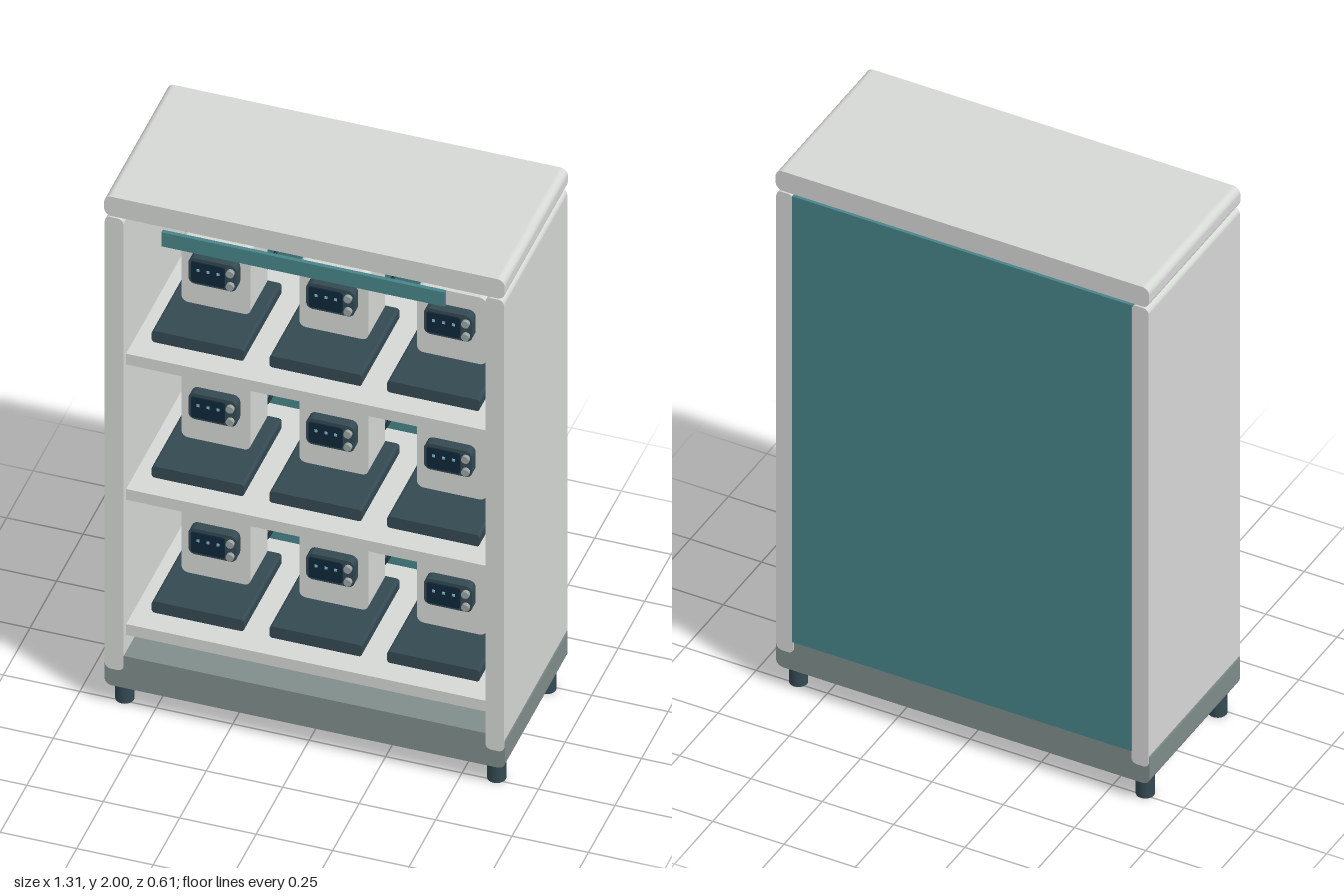
import * as THREE from 'three';

const mat = (name, color) => {
  const m = new THREE.MeshStandardMaterial({ color });
  m.name = name;
  return m;
};

export function createModel() {
  const pale = mat('pale grey', 0xd6d8d6);
  const teal = mat('teal', 0x488589);
  const stone = mat('grey green', 0x7f8d8b);
  const slate = mat('dark slate', 0x344952);
  const screenBlue = mat('screen navy', 0x10283a);
  const light = mat('indicator blue', 0x7fb9cc);
  const metal = mat('knob grey', 0x9aa5a4);
  const cable = mat('cable black', 0x1c2930);

  const cabinet = new THREE.Group();
  cabinet.name = 'cabinet';

  const add = (parent, name, geometry, material, x = 0, y = 0, z = 0) => {
    const mesh = new THREE.Mesh(geometry, material);
    mesh.name = name;
    mesh.position.set(x, y, z);
    parent.add(mesh);
    return mesh;
  };

  // Block with rounded corners in the front outline, extruded from z0 to z1
  const slab = (parent, name, material, [x0, x1], [y0, y1], [z0, z1], r) => {
    const s = new THREE.Shape();
    s.moveTo(x0 + r, y0);
    s.lineTo(x1 - r, y0);
    s.absarc(x1 - r, y0 + r, r, -Math.PI / 2, 0);
    s.lineTo(x1, y1 - r);
    s.absarc(x1 - r, y1 - r, r, 0, Math.PI / 2);
    s.lineTo(x0 + r, y1);
    s.absarc(x0 + r, y1 - r, r, Math.PI / 2, Math.PI);
    s.lineTo(x0, y0 + r);
    s.absarc(x0 + r, y0 + r, r, Math.PI, Math.PI * 1.5);
    const g = new THREE.ExtrudeGeometry(s, { depth: z1 - z0, bevelEnabled: false, curveSegments: 5 });
    return add(parent, name, g, material, 0, 0, z0);
  };

  // Carcass
  slab(cabinet, 'topSlab', pale, [-0.655, 0.655], [1.925, 2], [-0.3, 0.295], 0.025);
  slab(cabinet, 'plinth', stone, [-0.655, 0.655], [0.085, 0.21], [-0.297, 0.292], 0.025);
  slab(cabinet, 'rightSide', pale, [-0.653, -0.592], [0.152, 1.92], [-0.3, 0.295], 0.02);
  slab(cabinet, 'leftSide', pale, [0.592, 0.653], [0.152, 1.92], [-0.3, 0.295], 0.02);
  add(cabinet, 'backPanel', new THREE.BoxGeometry(1.19, 1.72, 0.02), teal, 0, 1.06, -0.295);
  add(cabinet, 'headerStrip', new THREE.BoxGeometry(0.926, 0.055, 0.014), teal, 0, 1.887, 0.302);

  // Feet
  for (const x of [-0.608, 0.608]) {
    for (const z of [-0.238, 0.235]) {
      add(cabinet, 'foot', new THREE.CylinderGeometry(0.03, 0.03, 0.09, 20), slate, x, 0.045, z);
    }
  }

  // One countertop device standing on y = 0, centred on x
  const makeDevice = () => {
    const device = new THREE.Group();
    device.name = 'device';
    slab(device, 'tray', slate, [-0.151, 0.151], [0.003, 0.047], [-0.165, 0.19], 0.01);
    slab(device, 'housing', pale, [-0.113, 0.113], [0.047, 0.308], [-0.14, 0.018], 0.022);
    slab(device, 'bezel', slate, [-0.079, 0.079], [0.152, 0.252], [0.018, 0.052], 0.022);
    slab(device, 'display', screenBlue, [-0.069, 0.041], [0.162, 0.24], [0.052, 0.057], 0.008);
    for (const x of [-0.045, -0.012, 0.02]) {
      add(device, 'indicator', new THREE.BoxGeometry(0.009, 0.009, 0.003), light, x, 0.212, 0.058);
    }
    for (const y of [0.176, 0.226]) {
      const knob = add(device, 'knob', new THREE.CylinderGeometry(0.013, 0.013, 0.014, 16), metal, 0.06, y, 0.058);
      knob.rotation.x = Math.PI / 2;
    }
    // Cable looping out behind the housing
    const path = new THREE.CatmullRomCurve3([
      [0.106, 0.316, -0.13], [0.11, 0.305, -0.2], [0.116, 0.265, -0.26],
      [0.12, 0.2, -0.27], [0.118, 0.145, -0.24], [0.112, 0.115, -0.18], [0.106, 0.11, -0.13],
    ].map((p) => new THREE.Vector3(...p)));
    add(device, 'cable', new THREE.TubeGeometry(path, 28, 0.006, 8), cable);
    add(device, 'cablePlug', new THREE.BoxGeometry(0.014, 0.024, 0.03), cable, 0.106, 0.312, -0.135);
    return device;
  };

  // Shelves, each with three devices
  for (const top of [0.318, 0.847, 1.377]) {
    add(cabinet, 'shelf', new THREE.BoxGeometry(1.184, 0.042, 0.555), pale, 0, top - 0.021, -0.008);
    for (const x of [-0.385, 0, 0.385]) {
      const device = makeDevice();
      device.position.set(x, top, 0);
      cabinet.add(device);
    }
  }
  return cabinet;
}
